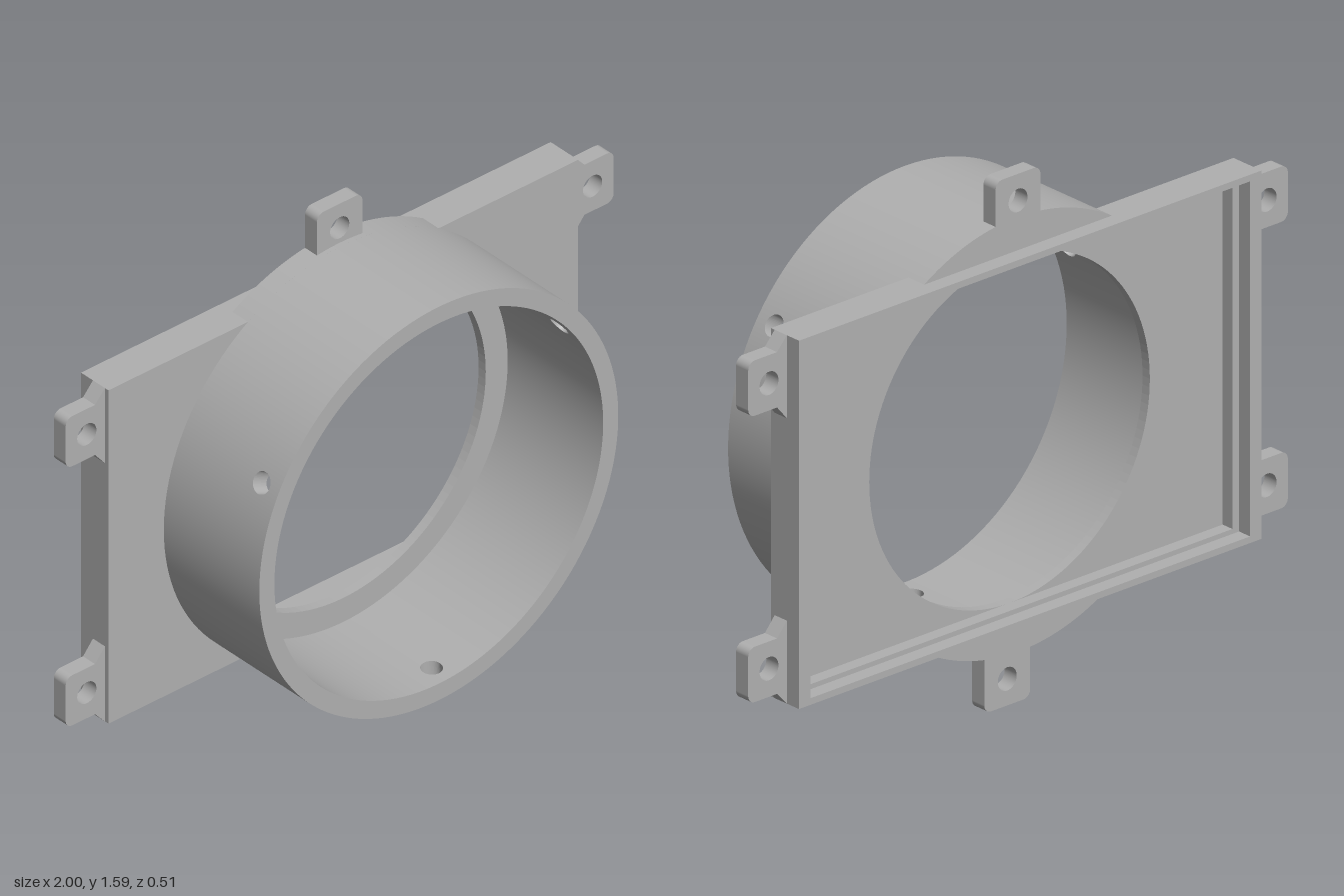
import * as THREE from 'three';

const CY = 0.805;              // height of the ring axis
const R_OUT = 0.655, R_IN = 0.6, R_LIP = 0.52;
const Z_FRONT = 0.26, Z_PLATE = -0.14, Z_FLOOR = -0.17, Z_STEP = -0.21, Z_BACK = -0.255;
const W = 0.857, H = 0.555;    // half width and half height of the plate

const grey = new THREE.MeshStandardMaterial({ color: 0xb0b0b0 });
grey.name = 'grey plastic';

function add(parent, name, geometry) {
  const mesh = new THREE.Mesh(geometry, grey);
  mesh.name = name;
  parent.add(mesh);
  return mesh;
}

// Extrude a shape between two z planes
function slab(shape, z0, z1) {
  const g = new THREE.ExtrudeGeometry(shape, { depth: z1 - z0, bevelEnabled: false, curveSegments: 64 });
  return g.translate(0, 0, z0);
}

function rect(cls, x0, y0, x1, y1) {
  return new cls([[x0, y0], [x1, y0], [x1, y1], [x0, y1]].map(p => new THREE.Vector2(...p)));
}

function circleHole(x, y, r) {
  const p = new THREE.Path();
  p.absarc(x, y, r, 0, Math.PI * 2, true);
  return p;
}

// Wrap (angle, z, radius) coordinates around the ring axis, turning normals too
function wrap(g) {
  const p = g.attributes.position, n = g.attributes.normal;
  for (let i = 0; i < p.count; i++) {
    const c = Math.cos(p.getX(i)), s = Math.sin(p.getX(i)), r = p.getZ(i);
    const t = n.getX(i), ax = n.getY(i), rad = n.getZ(i);
    p.setXYZ(i, r * c, r * s, p.getY(i));
    n.setXYZ(i, rad * c - t * s, rad * s + t * c, ax);
  }
  return g;
}

// Tube wall: three plain arcs and three drilled patches
function makeRing() {
  const ring = new THREE.Group();
  ring.name = 'ring';
  const half = THREE.MathUtils.degToRad(4.5), arc = Math.PI * 2 / 3 - 2 * half;
  const depth = R_OUT - R_IN, mid = (Z_FRONT + Z_PLATE) / 2;
  for (let i = 0; i < 3; i++) {
    const a = THREE.MathUtils.degToRad(33.3 + 120 * i);
    const wall = new THREE.BoxGeometry(arc, Z_FRONT - Z_PLATE, depth, 40, 1, 1);
    wall.translate(a + Math.PI / 3, mid, (R_OUT + R_IN) / 2);
    add(ring, 'ringWall', wrap(wall));

    const pts = [];
    for (let k = 0; k <= 4; k++) pts.push(new THREE.Vector2(a - half + k * half / 2, Z_PLATE));
    for (let k = 4; k >= 0; k--) pts.push(new THREE.Vector2(a - half + k * half / 2, Z_FRONT));
    const patch = new THREE.Shape(pts);
    const hole = new THREE.Path();
    hole.absellipse(a, 0.19, 0.033 / R_OUT, 0.033, 0, Math.PI * 2, true);
    patch.holes.push(hole);
    const g = new THREE.ExtrudeGeometry(patch, { depth, bevelEnabled: false, curveSegments: 24 });
    add(ring, 'drilledWall', wrap(g.translate(0, 0, R_IN)));
  }
  return ring;
}

// Plate: floor with the round opening, then two frames forming a stepped recess
function makePlate() {
  const plate = new THREE.Group();
  plate.name = 'plate';
  const layer = (name, hole, z0, z1) => {
    const s = rect(THREE.Shape, -W, -H, W, H);
    s.holes.push(hole);
    add(plate, name, slab(s, z0, z1));
  };
  layer('plateFloor', circleHole(0, 0, R_LIP), Z_FLOOR, Z_PLATE);
  layer('innerFrame', rect(THREE.Path, -0.79, -0.52, 0.79, 0.52), Z_STEP, Z_FLOOR);
  layer('outerFrame', rect(THREE.Path, -0.815, -0.535, 0.815, 0.535), Z_BACK, Z_STEP);
  return plate;
}

// Mounting ear, sticking out along +y from v0 to v1, with a screw hole
function earShape(x, v0, v1, w, holeY) {
  const r = 0.025, s = new THREE.Shape();
  s.moveTo(x - w, v0);
  s.lineTo(x + w, v0);
  s.lineTo(x + w, v1 - r);
  s.absarc(x + w - r, v1 - r, r, 0, Math.PI / 2, false);
  s.lineTo(x - w + r, v1);
  s.absarc(x - w + r, v1 - r, r, Math.PI / 2, Math.PI, false);
  s.closePath();
  s.holes.push(circleHole(x, holeY, 0.035));
  return s;
}

// Side ear with flared root
function sideEarShape() {
  const r = 0.025, s = new THREE.Shape();
  s.moveTo(W, 0.305);
  s.lineTo(0.893, 0.348);
  s.lineTo(1 - r, 0.348);
  s.absarc(1 - r, 0.348 + r, r, -Math.PI / 2, 0, false);
  s.lineTo(1, 0.515 - r);
  s.absarc(1 - r, 0.515 - r, r, 0, Math.PI / 2, false);
  s.lineTo(0.893, 0.515);
  s.lineTo(W, H);
  s.closePath();
  s.holes.push(circleHole(0.923, 0.43, 0.035));
  return s;
}

export function createModel() {
  const model = new THREE.Group();
  model.name = 'ringAdapter';
  const body = new THREE.Group();
  body.name = 'body';
  body.position.y = CY;
  model.add(body);
  body.add(makeRing(), makePlate());

  // Ring segments that overhang the plate above and below
  const a = Math.asin(H / R_OUT);
  const segment = new THREE.Shape();
  segment.absarc(0, 0, R_OUT, a, Math.PI - a, false);
  segment.closePath();
  const E0 = -0.205, E1 = -0.155;
  add(body, 'topSegment', slab(segment, E0, Z_PLATE));
  add(body, 'bottomSegment', slab(segment, E0, Z_PLATE).rotateZ(Math.PI));

  // Ears above and below the ring
  add(body, 'topEar', slab(earShape(0, 0.645, 0.785, 0.083, 0.705), E0, E1));
  add(body, 'bottomEar', slab(earShape(-0.04, 0.64, CY, 0.085, 0.725), E0, E1).rotateZ(Math.PI));

  // Four side ears: two on the left, two turned half round, made by flipping about an axis
  const zMid = E0 + E1;
  for (const [name, fx, fy] of [['leftTopEar', 0, 0], ['leftBottomEar', 1, 0], ['rightTopEar', 0, 1], ['rightBottomEar', 1, 1]]) {
    const g = slab(sideEarShape(), E0, E1);
    if (fx) g.rotateX(Math.PI).translate(0, 0, zMid);
    if (fy) g.rotateY(Math.PI).translate(0, 0, zMid);
    add(body, name, g);
  }
  return model;
}
